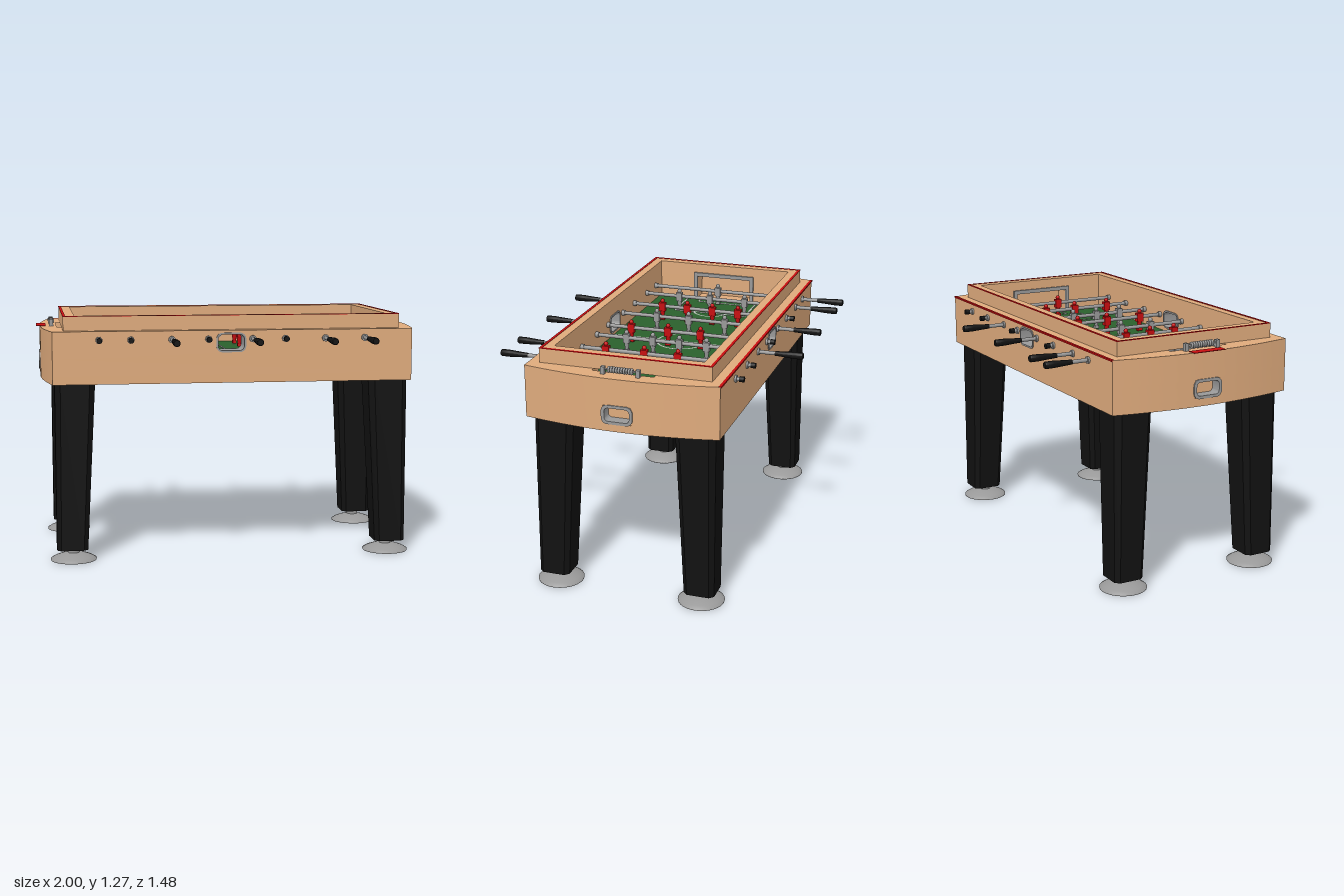
import * as THREE from 'three';
import { toCreasedNormals } from 'three/addons/utils/BufferGeometryUtils.js';

const mat = (color, side = THREE.FrontSide) => new THREE.MeshStandardMaterial({ color, side });
const WOOD = mat(0xdeaa7c), RED = mat(0xc80d10), BLACK = mat(0x111111), GREEN = mat(0x2a602c);
const METAL = mat(0x999999, THREE.DoubleSide), LINE = mat(0xbbbbbb, THREE.DoubleSide);

const FX = 0.815, FZ = 0.387;   // playing field half size
const ROD_Y = 1.155;

function add(parent, name, geo, material, x = 0, y = 0, z = 0) {
  const m = new THREE.Mesh(geo, material);
  m.name = name;
  m.position.set(x, y, z);
  parent.add(m);
  return m;
}
const box = (w, h, d) => new THREE.BoxGeometry(w, h, d);
const polygon = pts => new THREE.Shape(pts.map(p => new THREE.Vector2(...p)));
const extrude = (shape, depth) => toCreasedNormals(
  new THREE.ExtrudeGeometry(shape, { depth, bevelEnabled: false, curveSegments: 8 }), 0.5);
// plan shape (x, -z) raised from y0 to y1
const slab = (shape, y0, y1) => extrude(shape, y1 - y0).rotateX(-Math.PI / 2).translate(0, y0, 0);
const rect = (w, h, y = 0) => polygon([[-w, y - h], [w, y - h], [w, y + h], [-w, y + h]]);
const cylZ = (r, len, seg = 16) => new THREE.CylinderGeometry(r, r, len, seg).rotateX(Math.PI / 2);

function roundRect(w, h, r, cx = 0, cy = 0) {
  const s = new THREE.Shape();
  [[w - r, h - r, 0], [r - w, h - r, 1], [r - w, r - h, 2], [w - r, r - h, 3]].forEach(([x, y, k]) =>
    s.absarc(cx + x, cy + y, r, k * Math.PI / 2, (k + 1) * Math.PI / 2, false));
  return s;
}
function ring(outer, inner) {
  outer.holes.push(inner);
  return outer;
}

// bowed end of the cabinet, optionally notched for the ball pocket
const bow = z => 0.932 + 0.056 * (1 - (z / 0.5) ** 2);
function bowedEnd(notch) {
  const pts = [];
  for (let i = 0; i <= 24; i++) {
    const z = -0.5 + i / 24;
    if (notch && i === 12) pts.push([bow(0.072), -0.072], [0.93, -0.072], [0.93, 0.072], [bow(0.072), 0.072]);
    if (!notch || Math.abs(z) > 0.075) pts.push([bow(z), z]);
  }
  return pts;
}
const outline = notch => polygon([...bowedEnd(notch), ...bowedEnd(notch).map(([x, z]) => [-x, -z])]);

function cabinet(root) {
  const g = new THREE.Group();
  g.name = 'cabinet';
  root.add(g);
  add(g, 'cabinetBottom', slab(outline(false), 0.93, 0.972), WOOD);
  add(g, 'cabinetMiddle', slab(outline(true), 0.972, 1.062), WOOD);
  add(g, 'cabinetDeck', slab(outline(false), 1.062, 1.068), WOOD);
  add(g, 'upperRim', slab(ring(rect(0.875, 0.444), rect(FX, FZ)), 1.2, 1.273), WOOD);
  add(g, 'rimTrim', slab(ring(rect(0.876, 0.445), rect(0.862, 0.431)), 1.272, 1.275), RED);
  add(g, 'backTrim', box(1.864, 0.008, 0.014), RED, 0, 1.198, -0.498);
  add(g, 'endPlate', box(0.05, 0.003, 0.18), RED, -0.981, 1.203, 0);

  // long walls with a framed ball window
  const wall = ring(rect(FX, 0.069, 1.131), roundRect(0.075, 0.048, 0.03, -0.02, 1.137));
  const frame = ring(roundRect(0.077, 0.05, 0.032, -0.02, 1.137), roundRect(0.068, 0.041, 0.025, -0.02, 1.137));
  for (const z of [FZ, -0.5]) {
    add(g, 'sideWall', extrude(wall, 0.5 - FZ), WOOD, 0, 0, z);
    add(g, 'windowFrame', extrude(frame, 0.506 - FZ + 0.004), METAL, 0, 0, z - 0.005);
  }

  // both ends: wall with goal, ball pocket frame and score counter
  for (const s of [1, -1]) {
    const e = new THREE.Group();
    e.name = s > 0 ? 'leftEnd' : 'rightEnd';
    e.rotation.y = s > 0 ? 0 : Math.PI;
    g.add(e);
    const endShape = polygon([[FX, -0.5], ...bowedEnd(false), [FX, 0.5], [FX, 0.16], [0.9, 0.16], [0.9, -0.16], [FX, -0.16]]);
    add(e, 'endWall', slab(endShape, 1.068, 1.2), WOOD);
    const goal = ring(rect(0.18, 0.076, 1.146), rect(0.16, 0.065, 1.136));
    add(e, 'goalFrame', extrude(goal, 0.012).rotateY(Math.PI / 2), METAL, FX - 0.011);
    const pocket = ring(roundRect(0.08, 0.049, 0.032), roundRect(0.064, 0.034, 0.02));
    add(e, 'pocketFrame', extrude(pocket, 0.06).rotateY(Math.PI / 2), METAL, 0.933, 1.017, 0);
    for (const z of [-0.09, 0.09]) add(e, 'counterPost', box(0.022, 0.038, 0.02), METAL, 0.927, 1.219, z);
    add(e, 'counterBar', cylZ(0.005, 0.18, 8), METAL, 0.927, 1.225, 0);
    for (let i = 0; i < 10; i++)
      add(e, 'counterBead', new THREE.TorusGeometry(0.011, 0.006, 8, 14), METAL, 0.927, 1.225, -0.0585 + i * 0.013);
  }
}

function field(root) {
  const g = new THREE.Group();
  g.name = 'field';
  root.add(g);
  add(g, 'turf', box(2 * FX, 0.004, 2 * FZ), GREEN, 0, 1.068, 0);
  const t = 0.009, y = 1.0715;
  const stripe = (x, z, w, d) => add(g, 'fieldLine', box(w, 0.002, d), LINE, x, y, z);
  const arc = (x, r, a, len) => add(g, 'fieldArc',
    new THREE.RingGeometry(r - t, r, 40, 1, a, len).rotateX(-Math.PI / 2), LINE, x, y + 0.001, 0);
  stripe(0, 0, t, 2 * FZ);
  arc(0, 0.132, 0, Math.PI * 2);
  for (const s of [1, -1]) {
    for (const [x, z] of [[0.53, 0.207], [0.73, 0.127]]) {
      stripe(s * x, 0, t, 2 * z);
      for (const k of [1, -1]) stripe(s * (x + FX) / 2, k * z, FX - x, t);
    }
    arc(s * 0.565, 0.104, (s > 0 ? Math.PI : 0) - 1.2, 2.4);
  }
}

// tapered, chamfered leg with its outer corner at the origin, on a domed foot
function legs(root) {
  const w = 0.16, c = 0.022, h = 0.87;
  const section = polygon([[-c, 0], [c - w, 0], [-w, c], [-w, w - c], [c - w, w], [-c, w], [0, w - c], [0, c]]);
  const geo = new THREE.ExtrudeGeometry(section, { depth: h, bevelEnabled: false }).rotateX(-Math.PI / 2);
  const p = geo.attributes.position;
  for (let i = 0; i < p.count; i++) {
    const k = 1 + 0.29 * p.getY(i) / h;
    p.setXYZ(i, p.getX(i) * k, p.getY(i), p.getZ(i) * k);
  }
  geo.computeVertexNormals();
  const dome = [[0.119, 0], [0.12, 0.006], [0.1, 0.018], [0.07, 0.029], [0.035, 0.038], [0, 0.04]];
  const foot = new THREE.LatheGeometry(dome.map(q => new THREE.Vector2(...q)), 40);
  [[1, 1, 0], [1, -1, 1], [-1, -1, 2], [-1, 1, 3]].forEach(([sx, sz, k]) => {
    const g = new THREE.Group();
    g.name = 'legAssembly';
    g.position.set(sx * 0.922, 0, sz * 0.47);
    g.rotation.y = k * Math.PI / 2;
    root.add(g);
    add(g, 'leg', geo, BLACK, 0, 0.063, 0);
    add(g, 'foot', foot, METAL, -0.087, 0, -0.087);
    add(g, 'footStem', new THREE.CylinderGeometry(0.03, 0.03, 0.06, 20), METAL, -0.087, 0.035, -0.087);
  });
}

// playing figure hung on a rod
function figure(parent, z, material, w) {
  const g = new THREE.Group();
  g.name = 'figure';
  g.position.z = z;
  parent.add(g);
  add(g, 'torso', box(0.026, 0.048, w), material, 0, -0.003, 0);
  add(g, 'head', new THREE.SphereGeometry(0.012, 12, 8), material, 0, 0.031, 0);
  add(g, 'figureLegs', new THREE.CylinderGeometry(0.015, 0.009, 0.04, 8), material, 0, -0.045, 0);
  add(g, 'figureFoot', box(0.022, 0.016, w * 0.75), material, 0, -0.07, 0);
}

function rods(root) {
  const four = [-0.226, -0.078, 0.068, 0.214], three = [-0.14, 0.041, 0.249], greyThree = [-0.205, 0, 0.183];
  // x, side of the handle, figure positions
  const layout = [[-0.696, -1, [0]], [-0.535, -1, greyThree], [-0.325, 1, four], [-0.137, -1, greyThree],
    [0.092, 1, three], [0.262, -1, four], [0.472, 1, three], [0.68, 1, [0.041]]];
  const grip = [[0, 0], [0.012, 0], [0.014, 0.04], [0.018, 0.1], [0.018, 0.142], [0.015, 0.147], [0, 0.147]];
  const gripGeo = toCreasedNormals(
    new THREE.LatheGeometry(grip.map(q => new THREE.Vector2(...q)), 20).rotateX(Math.PI / 2), 0.6);
  for (const [x, side, men] of layout) {
    const g = new THREE.Group();
    g.name = 'rod';
    g.position.set(x, ROD_Y, 0);
    root.add(g);
    add(g, 'rodBar', cylZ(0.01, 1.15), METAL, 0, 0, side * 0.04);
    const handle = add(g, 'handle', gripGeo, BLACK, 0, 0, side * 0.592);
    if (side < 0) handle.rotation.y = Math.PI;
    add(g, 'endCap', cylZ(0.014, 0.024), BLACK, 0, 0, -side * 0.535);
    for (const s of [1, -1]) {
      add(g, 'bushing', cylZ(0.018, 0.012), METAL, 0, 0, s * 0.504);
      add(g, 'innerBushing', cylZ(0.015, 0.02), METAL, 0, 0, s * (FZ - 0.008));
    }
    for (const z of men) figure(g, z, side > 0 ? RED : METAL, side > 0 ? 0.038 : 0.034);
  }
}

export function createModel() {
  const model = new THREE.Group();
  model.name = 'tableGame';
  const root = new THREE.Group();
  root.name = 'table';
  root.position.set(0.006, 0, -0.004);
  model.add(root);
  cabinet(root);
  field(root);
  legs(root);
  rods(root);
  return model;
}
